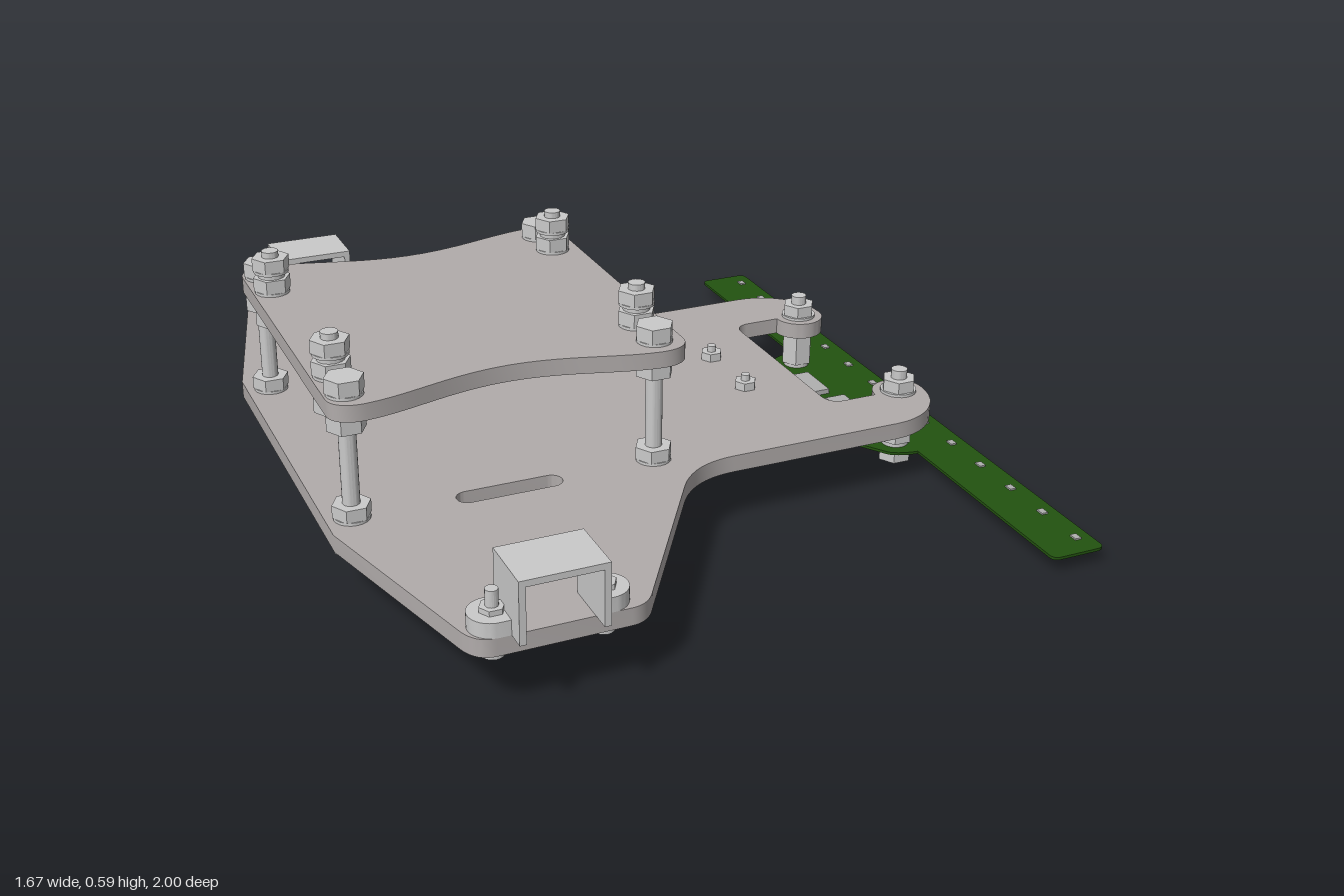
import * as THREE from 'three';
import { toCreasedNormals } from 'three/addons/utils/BufferGeometryUtils.js';

const mat = (name, color) => {
  const m = new THREE.MeshStandardMaterial({ color });
  m.name = name;
  return m;
};

export function createModel() {
  const plateGrey = mat('plate grey', 0xb1acab);
  const metal = mat('light metal', 0xcacaca);
  const boardGreen = mat('board green', 0x235310);
  const chipGrey = mat('component grey', 0xb0b0b0);

  const model = new THREE.Group();
  model.name = 'chassis';

  const add = (parent, name, geo, material, x = 0, y = 0, z = 0) => {
    const mesh = new THREE.Mesh(toCreasedNormals(geo, 0.6), material);
    mesh.name = name;
    mesh.position.set(x, y, z);
    parent.add(mesh);
    return mesh;
  };
  const group = (name, x = 0, z = 0) => {
    const g = new THREE.Group();
    g.name = name;
    g.position.set(x, 0, z);
    model.add(g);
    return g;
  };
  const box = (parent, name, material, w, h, d, x, y, z) =>
    add(parent, name, new THREE.BoxGeometry(w, h, d), material, x, y, z);

  // Outline drawn for z > 0 and mirrored across z = 0
  const mirrored = (path) => {
    const pts = path.getPoints(10);
    const other = pts.map((p) => new THREE.Vector2(p.x, -p.y)).reverse();
    return new THREE.Shape([...pts, ...other]);
  };
  // Horizontal plate between two heights
  const plate = (name, shape, y0, y1, material) => {
    const geo = new THREE.ExtrudeGeometry(shape, { depth: y1 - y0, bevelEnabled: false, curveSegments: 10 });
    geo.rotateX(Math.PI / 2);
    return add(model, name, geo, material, 0, y1, 0);
  };
  // Stack of round and hexagonal pieces: [name, radius, bottom, top, sides]
  const stack = (name, x, z, pieces) => {
    const g = group(name, x, z);
    for (const [part, r, y0, y1, sides = 20] of pieces) {
      const geo = new THREE.CylinderGeometry(r, r, y1 - y0, sides);
      if (sides === 6) geo.rotateY(Math.PI / 6);
      add(g, part, geo, metal, 0, (y0 + y1) / 2, 0);
    }
    return g;
  };

  // Base plate with front notch, rounded arms and two slots
  const base = new THREE.Path();
  base.moveTo(-0.835, 0.43);
  base.lineTo(-0.71, 0.9);
  base.quadraticCurveTo(-0.695, 0.955, -0.65, 0.955);
  base.lineTo(-0.36, 0.955);
  base.quadraticCurveTo(-0.32, 0.955, -0.295, 0.91);
  base.lineTo(-0.04, 0.52);
  base.quadraticCurveTo(0.02, 0.43, 0.13, 0.43);
  base.lineTo(0.57, 0.43);
  base.bezierCurveTo(0.66, 0.43, 0.735, 0.36, 0.735, 0.265);
  base.absarc(0.67, 0.265, 0.065, 0, -Math.PI, true);
  base.lineTo(0.52, 0.265);
  base.quadraticCurveTo(0.475, 0.265, 0.475, 0.22);
  const baseShape = mirrored(base);
  for (const s of [-1, 1]) {
    const slot = new THREE.Path();
    slot.absarc(-0.51, s * 0.378, 0.027, Math.PI / 2, Math.PI * 1.5, false);
    slot.absarc(-0.31, s * 0.378, 0.027, -Math.PI / 2, Math.PI / 2, false);
    slot.closePath();
    baseShape.holes.push(slot);
  }
  plate('basePlate', baseShape, 0.143, 0.185, plateGrey);

  // Upper deck with waisted sides
  const deck = new THREE.Path();
  deck.moveTo(-0.822, 0.38);
  deck.bezierCurveTo(-0.822, 0.415, -0.79, 0.437, -0.745, 0.433);
  deck.bezierCurveTo(-0.64, 0.425, -0.54, 0.366, -0.403, 0.366);
  deck.bezierCurveTo(-0.266, 0.366, -0.166, 0.425, -0.061, 0.433);
  deck.bezierCurveTo(-0.016, 0.437, 0.016, 0.415, 0.016, 0.38);
  plate('upperDeck', mirrored(deck), 0.445, 0.485, plateGrey);

  for (const s of [-1, 1]) {
    // Deck support rods and the short bolts beside them
    for (const x of [-0.775, -0.05]) {
      stack('deckSupport', x, s * 0.367, [
        ['rod', 0.02, 0.11, 0.52],
        ['bottomNut', 0.045, 0.103, 0.135, 6], ['bottomWasher', 0.042, 0.135, 0.143],
        ['baseWasher', 0.042, 0.185, 0.192], ['baseNut', 0.045, 0.192, 0.222, 6],
        ['lowerDeckNut', 0.045, 0.403, 0.437, 6], ['lowerDeckWasher', 0.042, 0.437, 0.445],
        ['upperDeckWasher', 0.042, 0.485, 0.492], ['upperDeckNut', 0.045, 0.492, 0.527, 6],
      ]);
      stack('deckBolt', x, s * 0.265, [
        ['shaft', 0.02, 0.41, 0.59],
        ['head', 0.045, 0.403, 0.437, 6], ['lowerWasher', 0.042, 0.437, 0.445],
        ['upperWasher', 0.042, 0.485, 0.492], ['firstNut', 0.045, 0.492, 0.525, 6],
        ['spacer', 0.032, 0.525, 0.537], ['secondWasher', 0.042, 0.537, 0.544],
        ['secondNut', 0.045, 0.544, 0.575, 6],
      ]);
    }

    // Standoffs that carry the sensor board
    stack('boardStandoff', 0.67, s * 0.265, [
      ['bolt', 0.02, 0.01, 0.245],
      ['bottomNut', 0.043, 0, 0.028, 6], ['bottomWasher', 0.04, 0.028, 0.035],
      ['spacer', 0.034, 0.041, 0.052], ['hexSleeve', 0.043, 0.052, 0.135, 6],
      ['lowerWasher', 0.045, 0.135, 0.143],
      ['topWasher', 0.045, 0.185, 0.192], ['topNut', 0.043, 0.192, 0.222, 6],
    ]);

    // Small screws in the middle of the base
    stack('smallScrew', 0.325, s * 0.098, [
      ['shaft', 0.011, 0.11, 0.222], ['head', 0.021, 0.105, 0.115], ['nut', 0.028, 0.185, 0.206, 6],
    ]);

    // Motor bracket: inverted channel with two rounded ears
    const bracket = group('motorBracket', -0.522, s * 0.9275);
    box(bracket, 'bracketTop', metal, 0.195, 0.015, 0.145, 0, 0.3225, 0);
    for (const side of [-1, 1]) {
      box(bracket, 'bracketWall', metal, 0.015, 0.13, 0.145, side * 0.09, 0.25, 0);
      const ear = new THREE.Shape();
      ear.moveTo(0.09, -0.051);
      ear.lineTo(0.122, -0.051);
      ear.absarc(0.122, 0, 0.051, -Math.PI / 2, Math.PI / 2, false);
      ear.lineTo(0.09, 0.051);
      const earGeo = new THREE.ExtrudeGeometry(ear, { depth: 0.035, bevelEnabled: false, curveSegments: 12 });
      earGeo.rotateX(Math.PI / 2);
      if (side < 0) earGeo.rotateY(Math.PI);
      add(bracket, 'bracketEar', earGeo, metal, 0, 0.22, -s * 0.0225);
      stack('bracketScrew', -0.522 + side * 0.12, s * 0.905, [
        ['shaft', 0.014, 0.13, 0.27], ['head', 0.024, 0.118, 0.143], ['nut', 0.028, 0.22, 0.232, 6],
      ]);
    }
  }

  // Sensor board: long strip with a rear tab and pin holes
  const board = new THREE.Path();
  board.moveTo(0.485, 0.21);
  board.quadraticCurveTo(0.488, 0.235, 0.515, 0.235);
  board.lineTo(0.575, 0.235);
  board.lineTo(0.625, 0.31);
  board.quadraticCurveTo(0.645, 0.33, 0.696, 0.335);
  board.lineTo(0.696, 0.9);
  board.quadraticCurveTo(0.696, 0.92, 0.716, 0.92);
  board.lineTo(0.815, 0.92);
  board.quadraticCurveTo(0.835, 0.92, 0.835, 0.9);
  const boardShape = mirrored(board);
  for (const z of [-0.18, -0.06, -0.03, 0, 0.035, 0.07, 0.1, 0.135, 0.17]) {
    boardShape.holes.push(new THREE.Path().absarc(0.52, z, 0.006, 0, Math.PI * 2, false));
  }
  plate('sensorBoard', boardShape, 0.034, 0.041, boardGreen);

  // Chips on the board
  const chips = group('boardChips');
  for (const [x, z, w, d, h] of [
    [0.63, -0.115, 0.055, 0.12, 0.013], [0.64, 0.037, 0.055, 0.06, 0.022],
    [0.58, 0.05, 0.016, 0.022, 0.008], [0.655, 0.135, 0.012, 0.016, 0.006],
    [0.62, 0.1, 0.012, 0.012, 0.006], [0.595, 0.195, 0.022, 0.012, 0.006],
    [0.63, 0.165, 0.012, 0.012, 0.006],
  ]) box(chips, 'chip', chipGrey, w, h, d, x, 0.041 + h / 2, z);

  // Row of downward sensors, each with a small pad on top
  const sensors = group('sensorRow');
  for (let i = 0; i < 14; i++) {
    const z = (i - 6.5) * 0.132;
    box(sensors, 'sensor', chipGrey, 0.036, 0.021, 0.05, 0.77, 0.0235, z);
    box(sensors, 'sensorPad', chipGrey, 0.016, 0.004, 0.022, 0.798, 0.043, z);
    box(sensors, 'resistor', chipGrey, 0.016, 0.006, 0.012, 0.73, 0.031, z + 0.045);
  }

  return model;
}
